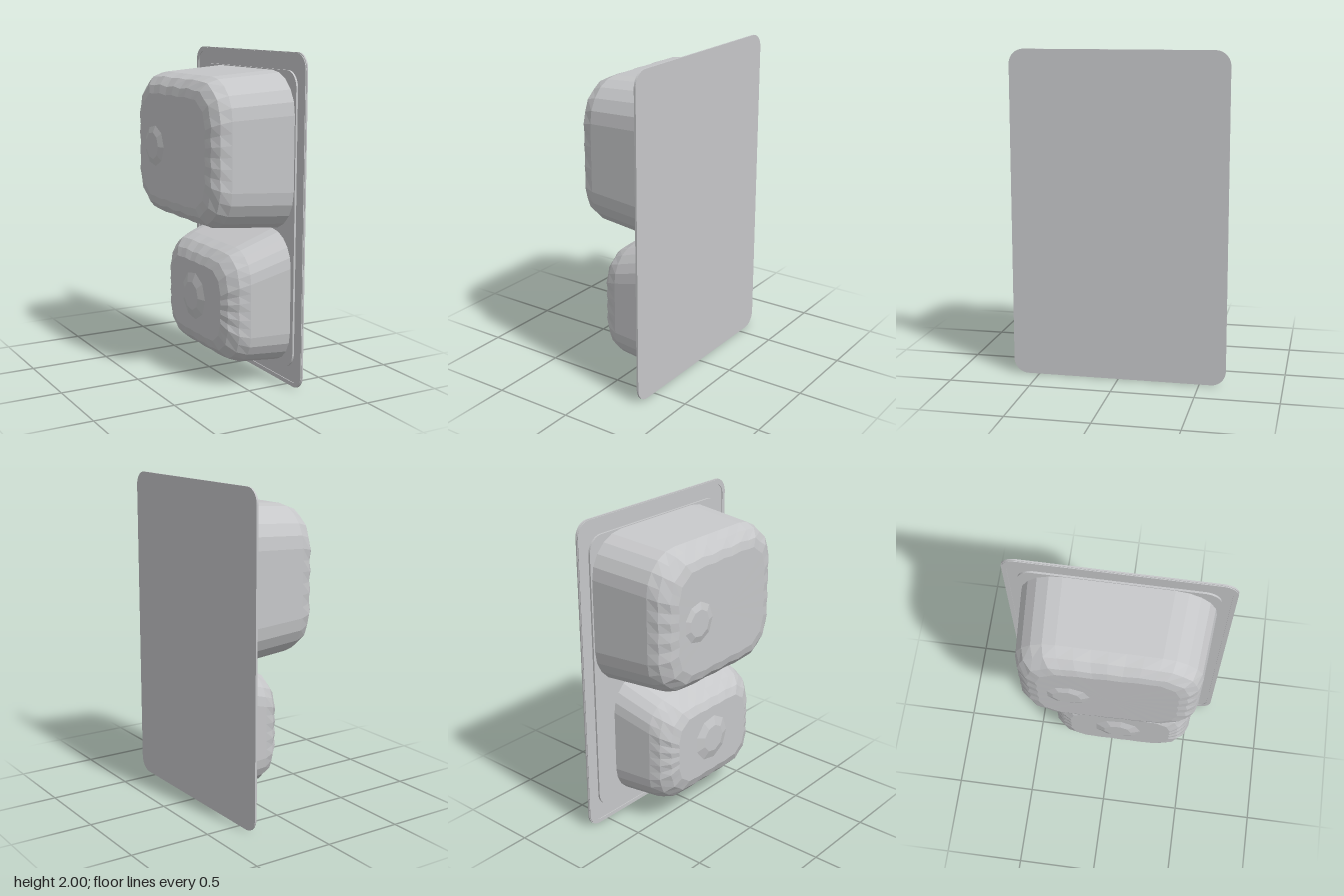
import * as THREE from 'three';

const grey = new THREE.MeshStandardMaterial({ color: 0xc6c7c9, flatShading: true });
grey.name = 'light grey plastic';

// Rounded plate lying in the y-z plane, from x0 to x1, optionally with an opening
function plate(name, x0, x1, y0, y1, z0, z1, r, border = 0) {
  const outline = (Type, y0, y1, z0, z1, r) => {
    const s = new Type();
    s.absarc(z1 - r, y1 - r, r, 0, Math.PI / 2);
    s.absarc(z0 + r, y1 - r, r, Math.PI / 2, Math.PI);
    s.absarc(z0 + r, y0 + r, r, Math.PI, Math.PI * 1.5);
    s.absarc(z1 - r, y0 + r, r, Math.PI * 1.5, Math.PI * 2);
    s.closePath();
    return s;
  };
  const shape = outline(THREE.Shape, y0, y1, z0, z1, r);
  if (border) {
    shape.holes.push(outline(THREE.Path, y0 + border, y1 - border, z0 + border, z1 - border, r - border / 2));
  }
  const geo = new THREE.ExtrudeGeometry(shape, { depth: x1 - x0, bevelEnabled: false, curveSegments: 6 });
  geo.rotateY(-Math.PI / 2); // shape x becomes z, depth becomes -x
  geo.translate(x1, 0, 0);
  const mesh = new THREE.Mesh(geo, grey);
  mesh.name = name;
  return mesh;
}

// One rounded-rectangle cross-section of a compartment, as a loop of points
function ring([x, y0, y1, z0, z1, r, scallop = 0, tilt = 0]) {
  const pts = [], corner = 5, side = 6;
  const centres = [[z1 - r, y1 - r], [z0 + r, y1 - r], [z0 + r, y0 + r], [z1 - r, y0 + r]];
  centres.forEach(([cz, cy], q) => {
    for (let i = 0; i <= corner; i++) {
      const a = (q + i / corner) * Math.PI / 2;
      pts.push([cz + r * Math.cos(a), cy + r * Math.sin(a)]);
    }
    // subdivide the straight side up to the next corner
    const a = (q + 1) * Math.PI / 2, [nz, ny] = centres[(q + 1) % 4];
    for (let i = 1; i < side; i++) {
      const t = i / side;
      pts.push([cz + (nz - cz) * t + r * Math.cos(a), cy + (ny - cy) * t + r * Math.sin(a)]);
    }
  });
  const mz = (z0 + z1) / 2, my = (y0 + y1) / 2;
  return pts.map(([z, y], i) => {
    const k = i % 2 ? 1 - scallop : 1 + scallop;
    return [x + tilt * (z - mz), my + (y - my) * k, mz + (z - mz) * k];
  });
}

// Closed bowl: loops from the rim to the base, then a flat base cap
function compartment(name, sections) {
  const loops = sections.map(ring), pos = [];
  const tri = (a, b, c) => pos.push(...a, ...b, ...c);
  const n = loops[0].length;
  for (let k = 0; k < loops.length - 1; k++) {
    const A = loops[k], B = loops[k + 1];
    for (let i = 0; i < n; i++) {
      const j = (i + 1) % n;
      tri(A[i], A[j], B[j]);
      tri(A[i], B[j], B[i]);
    }
  }
  const last = loops[loops.length - 1], s = sections[sections.length - 1];
  const centre = [s[0], (s[1] + s[2]) / 2, (s[3] + s[4]) / 2];
  for (let i = 0; i < n; i++) tri(last[i], last[(i + 1) % n], centre);
  const geo = new THREE.BufferGeometry();
  geo.setAttribute('position', new THREE.Float32BufferAttribute(pos, 3));
  geo.computeVertexNormals();
  const mesh = new THREE.Mesh(geo, grey);
  mesh.name = name;
  return mesh;
}

// Low faceted boss pressed out of the base
function boss(name, x, y, z, r) {
  const geo = new THREE.CylinderGeometry(r * 0.6, r, 0.018, 9);
  geo.rotateZ(Math.PI / 2);
  const mesh = new THREE.Mesh(geo, grey);
  mesh.position.set(x, y, z);
  mesh.name = name;
  return mesh;
}

export function createModel() {
  const group = new THREE.Group();
  group.name = 'twoCompartmentTray';

  // Sealed lid, rim lip and raised deck behind it
  group.add(plate('lid', 0.266, 0.276, 0, 2, -0.66, 0.66, 0.09));
  group.add(plate('rimLip', 0.261, 0.266, 0.004, 1.996, -0.656, 0.656, 0.088, 0.025));
  group.add(plate('deck', 0.254, 0.266, 0.11, 1.895, -0.575, 0.575, 0.1));

  // Sections: x, bottom, top, back z, front z, corner radius, scallop, base tilt
  group.add(compartment('upperCompartment', [
    [0.258, 0.94, 1.89, -0.565, 0.565, 0.25],
    [-0.14, 0.97, 1.86, -0.538, 0.532, 0.24],
    [-0.205, 0.995, 1.835, -0.515, 0.51, 0.23, 0.006],
    [-0.245, 1.04, 1.785, -0.46, 0.46, 0.2, 0.014, 0.012],
    [-0.259, 1.09, 1.735, -0.405, 0.41, 0.17, 0.012, 0.018],
  ]));
  group.add(boss('upperBoss', -0.268, 1.41, -0.235, 0.14));

  group.add(compartment('lowerCompartment', [
    [0.258, 0.12, 0.94, -0.42, 0.545, 0.21],
    [0, 0.14, 0.845, -0.385, 0.515, 0.19],
    [-0.065, 0.165, 0.815, -0.36, 0.49, 0.18, 0.006],
    [-0.115, 0.215, 0.765, -0.31, 0.44, 0.16, 0.014],
    [-0.138, 0.27, 0.715, -0.26, 0.39, 0.14, 0.012],
  ]));
  group.add(boss('lowerBoss', -0.147, 0.5, 0.05, 0.15));

  return group;
}
